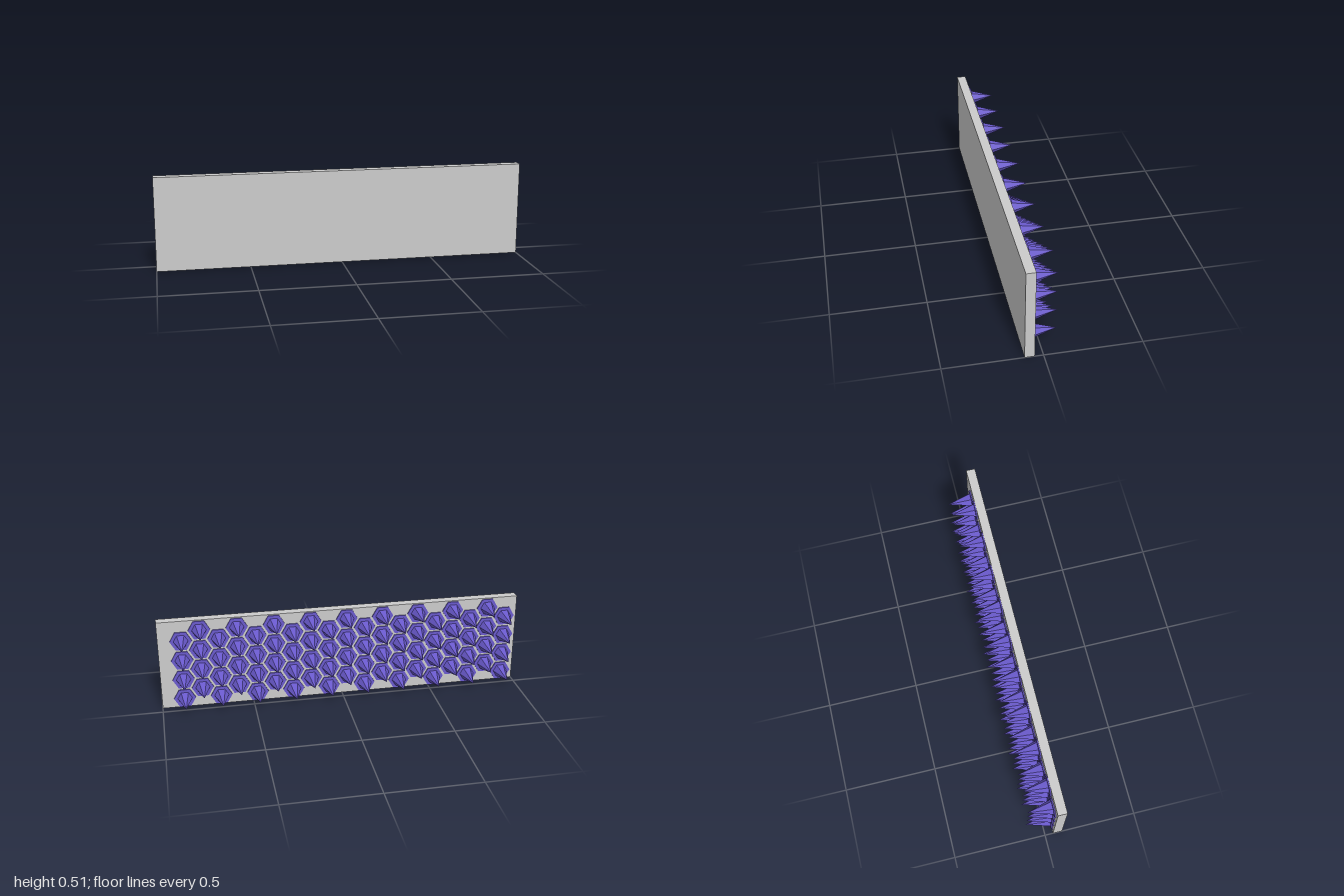
import * as THREE from 'three';

export function createModel() {
  const model = new THREE.Group();
  const grey = new THREE.MeshStandardMaterial({ color: 0xcccccc, flatShading: true });
  const purple = new THREE.MeshStandardMaterial({ color: 0x6a5acd, flatShading: true });

  const add = (name, geometry, material, x, y, z, parent = model) => {
    const mesh = new THREE.Mesh(geometry, material);
    mesh.name = name;
    mesh.position.set(x, y, z);
    parent.add(mesh);
  };

  // Flat backing plate
  add('backingPlate', new THREE.BoxGeometry(2, 0.51, 0.05), grey, 0, 0.255, 0.069);

  // Six-sided solids with corners toward +-x and their axis along -z
  const hex = (topRadius, bottomRadius, depth) =>
    new THREE.CylinderGeometry(topRadius, bottomRadius, depth, 6).rotateY(Math.PI / 6).rotateX(-Math.PI / 2);
  const tile = hex(0.0592, 0.0592, 0.008);
  const spike = hex(0, 0.0395, 0.13);

  // Honeycomb field: every other column is raised by half a pitch
  const columns = 19, rows = 4, pitchX = 0.1003, pitchY = 0.114;
  for (let c = 0; c < columns; c++) {
    const column = new THREE.Group();
    column.name = 'spikeColumn';
    column.position.x = -0.929 + c * pitchX;
    for (let r = 0; r < rows; r++) {
      const y = 0.054 + (r + (c % 2) / 2) * pitchY;
      add('hexTile', tile, purple, 0, y, 0.041, column);
      add('spike', spike, purple, 0, y, -0.028, column);
    }
    model.add(column);
  }
  return model;
}
